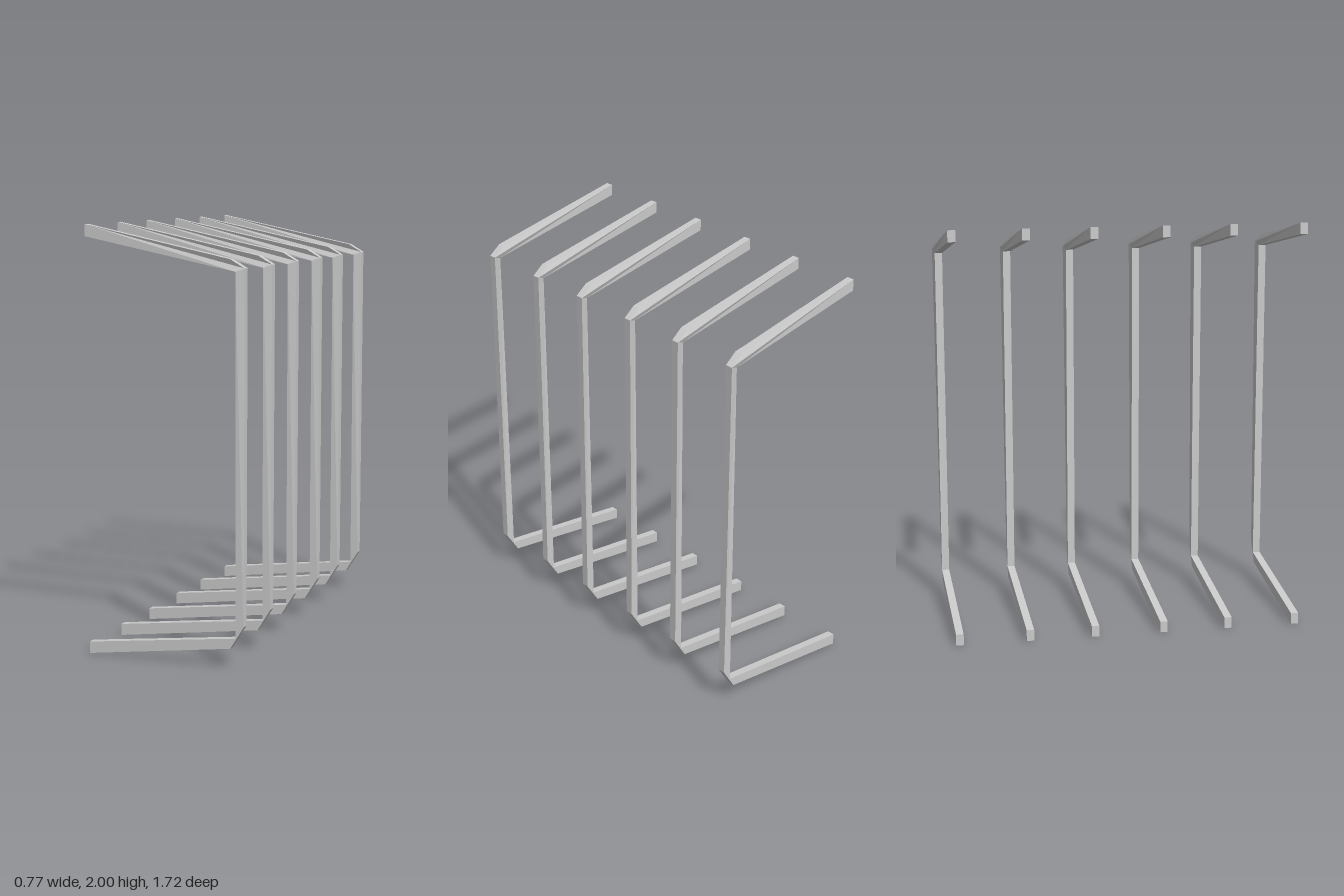
import * as THREE from 'three';

export function createModel() {
  const group = new THREE.Group();
  const material = new THREE.MeshStandardMaterial({ color: 0xcccccc, flatShading: true });
  const width = 0.037;

  // Bracket outline: sloping top arm, upright with chamfered bends, lower arm
  const outline = [
    [-0.39, 0], [0.32, 0.095], [0.385, 0.2], [0.385, 1.815], [0.32, 1.855], [-0.39, 2],
    [-0.39, 1.945], [0.345, 1.8], [0.345, 0.145], [-0.39, 0.055],
  ];
  const shape = new THREE.Shape(outline.map(([x, y]) => new THREE.Vector2(x, y)));
  const geometry = new THREE.ExtrudeGeometry(shape, { depth: width, bevelEnabled: false });
  geometry.translate(0, 0, -width / 2);

  // The outer edge of each upright leans slightly backwards at the top bend
  const p = geometry.attributes.position;
  for (let i = 0; i < p.count; i++) {
    if (p.getX(i) > 0.38 && p.getY(i) > 1) p.setZ(i, p.getZ(i) - 0.01);
  }
  geometry.computeVertexNormals();

  // Row of six identical bracket frames
  [0.838, 0.497, 0.173, -0.168, -0.488, -0.83].forEach((z, i) => {
    const frame = new THREE.Mesh(geometry, material);
    frame.name = `bracketFrame${i + 1}`;
    frame.position.z = z;
    group.add(frame);
  });
  return group;
}
